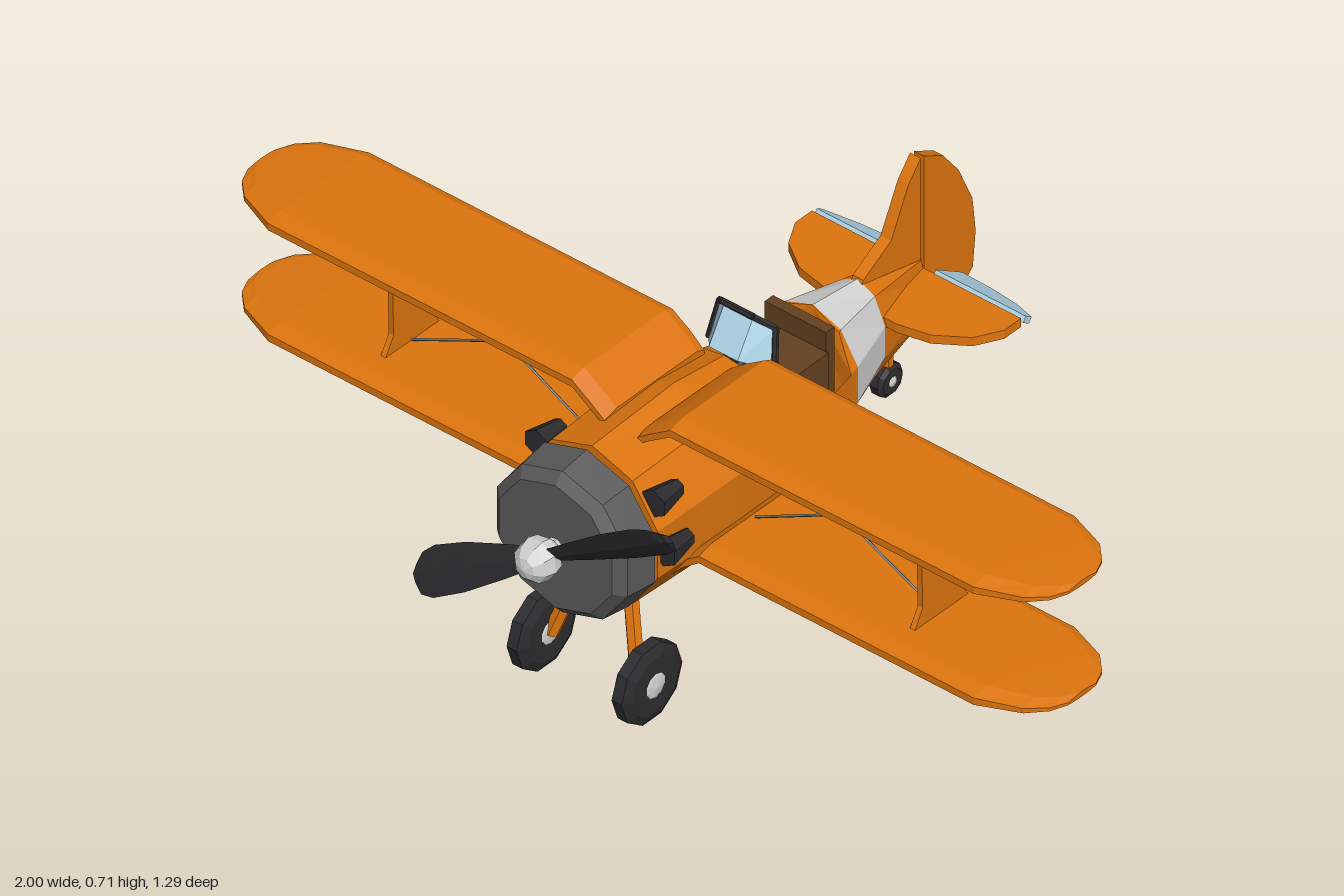
import * as THREE from 'three';

const mat = (name, color) => {
  const m = new THREE.MeshStandardMaterial({ color, flatShading: true, side: THREE.DoubleSide });
  m.name = name;
  return m;
};

export function createModel() {
  const model = new THREE.Group();
  model.name = 'biplane';
  const orange = mat('orange paint', 0xdc740e), silver = mat('light grey', 0xd2d2d2);
  const grey = mat('cowl grey', 0x5a5a5a), black = mat('black', 0x2c2c2e);
  const blue = mat('pale blue', 0xb0d6e8), brown = mat('seat brown', 0x64401f);
  const wireGrey = mat('wire grey', 0x77777a);

  const add = (name, geo, material, parent = model) => {
    const m = new THREE.Mesh(geo, material);
    m.name = name;
    parent.add(m);
    return m;
  };

  // Skin a row of equal cross-sections; closed lofts get end caps and outward faces
  const loft = (rings, open = false) => {
    const n = rings[0].length, idx = [], pos = rings.flat();
    for (let i = 0; i < rings.length - 1; i++)
      for (let j = 0; j < (open ? n - 1 : n); j++) {
        const a = i * n + j, b = i * n + (j + 1) % n;
        idx.push(a, b, b + n, a, b + n, a + n);
      }
    const last = (rings.length - 1) * n;
    if (!open) for (let j = 1; j < n - 1; j++) idx.push(0, j + 1, j, last, last + j, last + j + 1);
    const v = pos.map(p => new THREE.Vector3(...p));
    const mid = v.reduce((s, p) => s.add(p), new THREE.Vector3()).divideScalar(v.length);
    v.forEach(p => p.sub(mid));
    let volume = 0;
    for (let i = 0; i < idx.length; i += 3)
      volume += v[idx[i]].dot(v[idx[i + 1]].clone().cross(v[idx[i + 2]]));
    if (volume < 0) idx.reverse();
    const g = new THREE.BufferGeometry();
    g.setAttribute('position', new THREE.Float32BufferAttribute(pos.flat(), 3));
    g.setIndex(idx);
    g.computeVertexNormals();
    return g;
  };

  // Straight rod between two points
  const rod = (name, a, b, r, material, sides = 6, parent = model) => {
    const p = new THREE.Vector3(...a), q = new THREE.Vector3(...b), d = q.clone().sub(p);
    const m = add(name, new THREE.CylinderGeometry(r, r, d.length(), sides), material, parent);
    m.position.copy(p).add(q).multiplyScalar(0.5);
    m.quaternion.setFromUnitVectors(new THREE.Vector3(0, 1, 0), d.normalize());
    return m;
  };

  const extrude = (pts, depth) => new THREE.ExtrudeGeometry(
    new THREE.Shape(pts.map(p => new THREE.Vector2(...p))), { depth, bevelEnabled: false }).translate(0, 0, -depth / 2);
  const upright = (pts, t) => extrude(pts, t).rotateY(-Math.PI / 2); // points are (z, y)
  const flat = (pts, t) => extrude(pts, t).rotateX(Math.PI / 2);     // points are (x, z)

  // Ten-sided body section; lean slides the upper corners along z
  const section = (z, w, top, bottom, lean = 0) => Array.from({ length: 10 }, (_, i) => {
    const a = i * Math.PI / 5, k = i === 0 ? 1 : i === 1 || i === 9 ? 0.7 : 0;
    return [Math.sin(a) * w / 0.951, (top + bottom) / 2 + Math.cos(a) * (top - bottom) / 2, z + lean * k];
  });

  // Fuselage, with an open cockpit between the nose and the rear deck
  const cockpitFront = section(0.005, 0.155, 0.565, 0.235, 0.06);
  const cockpitRear = section(-0.165, 0.115, 0.535, 0.264, -0.024);
  const deck = section(-0.19, 0.11, 0.535, 0.267), tail = section(-0.32, 0.066, 0.52, 0.287);
  add('noseBody', loft([section(0.445, 0.16, 0.575, 0.22), section(0.21, 0.165, 0.585, 0.21), cockpitFront]), orange);
  add('cockpitTub', loft([cockpitFront.slice(2, 9), cockpitRear.slice(2, 9)], true), orange);
  add('cockpitBulkhead', loft([cockpitRear, deck]), orange);
  add('bodyBand', loft([deck, tail]), silver);
  add('tailBody', loft([tail, section(-0.487, 0.022, 0.49, 0.31)]), orange);

  // Engine cowl and exhaust stubs
  add('cowl', loft([section(0.46, 0.166, 0.575, 0.225), section(0.53, 0.159, 0.565, 0.235),
    section(0.55, 0.138, 0.543, 0.257)]), grey);
  for (const s of [1, -1])
    for (const [x, y] of [[0.168, 0.402], [0.143, 0.505]]) {
      const e = add('exhaust', new THREE.CylinderGeometry(0.031, 0.018, 0.07, 6).rotateX(Math.PI / 2), black);
      e.position.set(s * x, y, 0.402);
    }

  // Propeller
  const propeller = new THREE.Group();
  propeller.name = 'propeller';
  propeller.position.set(0, 0.4, 0.59);
  propeller.rotation.z = 0.56;
  model.add(propeller);
  for (const s of [1, -1]) {
    const rings = [[0.02, 0.04], [0.1, 0.065], [0.22, 0.095], [0.31, 0.1], [0.345, 0.08], [0.362, 0.035]].map(([r, w]) =>
      [[-0.5, 0], [0, 0.007], [0.5, 0], [0, -0.007]].map(([u, t]) => {
        const c = Math.cos(0.6), k = Math.sin(0.6);
        return [s * r, s * (u * w * c - t * k), u * w * k + t * c];
      }));
    add('blade', loft(rings), black, propeller);
  }
  add('spinner', new THREE.SphereGeometry(0.046, 8, 6).rotateX(Math.PI / 2).translate(0, 0, 0.01), silver, propeller);
  rod('shaft', [0, 0, -0.045], [0, 0, 0], 0.02, silver, 8, propeller);

  // Wings: x, y offset, rear z, front z, thickness at each station
  const wing = (s, y, root) => loft([root, [0.86, 0, 0.072, 0.362, 0.032], [0.95, 0, 0.105, 0.325, 0.022],
    [0.985, 0, 0.14, 0.29, 0.016], [1, 0, 0.175, 0.255, 0.012]].flatMap((st, i) => i ? [st] : st)
    .map(([x, dy, z0, z1, t]) => [[z1, -0.3], [z1, 0.2], [z1 - 0.035, 0.5], [z0 + 0.02, 0.4], [z0, 0.1], [z0, -0.3], [z0 + 0.02, -0.5], [z1 - 0.03, -0.5]]
      .map(([z, k]) => [s * x, y + dy + k * t, z])));
  const strutShape = [[0.31, 0.605], [0.265, 0.545], [0.262, 0.41], [0.29, 0.36], [0.125, 0.36], [0.16, 0.41], [0.16, 0.545], [0.11, 0.605]];
  for (const s of [1, -1]) {
    add('upperWing', wing(s, 0.615, [[0.04, -0.055, 0.075, 0.362, 0.03], [0.075, -0.03, 0.072, 0.362, 0.032], [0.12, 0, 0.072, 0.362, 0.032]]), orange);
    add('lowerWing', wing(s, 0.355, [[0.11, -0.075, 0.08, 0.362, 0.03], [0.15, -0.03, 0.074, 0.362, 0.032], [0.19, 0, 0.072, 0.362, 0.032]]), orange);
    add('wingStrut', upright(strutShape, 0.012), orange).position.x = s * 0.645;
    rod('bracingWire', [s * 0.64, 0.6, 0.21], [s * 0.2, 0.37, 0.21], 0.003, wireGrey, 4);
    rod('bracingWire', [s * 0.64, 0.37, 0.21], [s * 0.15, 0.605, 0.21], 0.003, wireGrey, 4);
  }

  // Wheels
  const wheel = (name, x, y, z, r, w) => {
    const g = new THREE.Group();
    g.name = name;
    g.position.set(x, y, z);
    model.add(g);
    add('tyre', loft([[-0.5, 0.76], [-0.28, 1], [0.28, 1], [0.5, 0.76]].map(([u, k]) =>
      Array.from({ length: 10 }, (_, i) => {
        const a = (i + 0.5) * Math.PI / 5;
        return [u * w, Math.cos(a) * r * k / 0.951, Math.sin(a) * r * k / 0.951];
      }))), black, g);
    add('hubcap', new THREE.SphereGeometry(r * 0.58, 10, 6).rotateZ(Math.PI / 2).scale(w * 0.62 / (r * 0.58), 1, 1), silver, g);
  };
  for (const s of [1, -1]) {
    wheel('mainWheel', s * 0.128, 0.083, 0.438, 0.083, 0.044);
    rod('landingLeg', [s * 0.055, 0.25, 0.4], [s * 0.105, 0.083, 0.438], 0.016, orange);
  }
  wheel('tailWheel', 0, 0.24, -0.4, 0.035, 0.034);
  rod('tailLeg', [0, 0.24, -0.4], [0, 0.33, -0.4], 0.014, orange);

  // Tail surfaces
  add('fin', upright([[-0.31, 0.5], [-0.32, 0.522], [-0.4, 0.568], [-0.45, 0.67], [-0.485, 0.712], [-0.485, 0.4], [-0.4, 0.4]], 0.026), orange);
  add('rudder', upright([[-0.495, 0.71], [-0.55, 0.68], [-0.595, 0.62], [-0.635, 0.53], [-0.644, 0.45],
    [-0.636, 0.37], [-0.6, 0.335], [-0.545, 0.31], [-0.495, 0.312]], 0.024), orange);
  for (const s of [1, -1]) {
    add('tailplane', flat([[0, -0.325], [0.09, -0.325], [0.16, -0.34], [0.225, -0.385], [0.255, -0.44], [0.255, -0.488], [0, -0.488]]
      .map(([x, z]) => [s * x, z]), 0.02), orange).position.y = 0.445;
    const elevator = add('elevator', flat([[0.035, 0], [0.255, 0], [0.255, -0.02], [0.19, -0.06], [0.11, -0.083], [0.035, -0.09]]
      .map(([x, z]) => [s * x, z]), 0.014), blue);
    elevator.position.set(0, 0.446, -0.498);
    elevator.rotation.x = -0.58;
  }

  // Windscreen: three panes in a dark frame
  const base = [[-0.08, 0.54, 0.015], [-0.035, 0.57, 0.068], [0.035, 0.57, 0.068], [0.08, 0.54, 0.015]];
  const rim = [[-0.068, 0.622, -0.003], [-0.035, 0.647, 0.022], [0.035, 0.647, 0.022], [0.068, 0.622, -0.003]];
  add('windscreen', loft([base, rim], true), blue);
  for (let i = 0; i < 3; i++) rod('windscreenFrame', rim[i], rim[i + 1], 0.007, black);
  for (const i of [0, 3]) rod('windscreenFrame', base[i], rim[i], 0.007, black);

  // Seat and steering wheel
  add('seat', new THREE.BoxGeometry(0.16, 0.16, 0.115).translate(0, 0.41, -0.083), brown);
  add('seatBack', new THREE.BoxGeometry(0.15, 0.15, 0.024).translate(0, 0.46, -0.152), brown);
  add('steeringWheel', new THREE.TorusGeometry(0.04, 0.01, 6, 10).translate(0, 0.528, -0.006), black);
  add('steeringSpoke', new THREE.BoxGeometry(0.08, 0.016, 0.01).translate(0, 0.528, -0.006), black);
  rod('steeringColumn', [0, 0.528, -0.006], [0, 0.5, 0.06], 0.008, black);

  return model;
}
